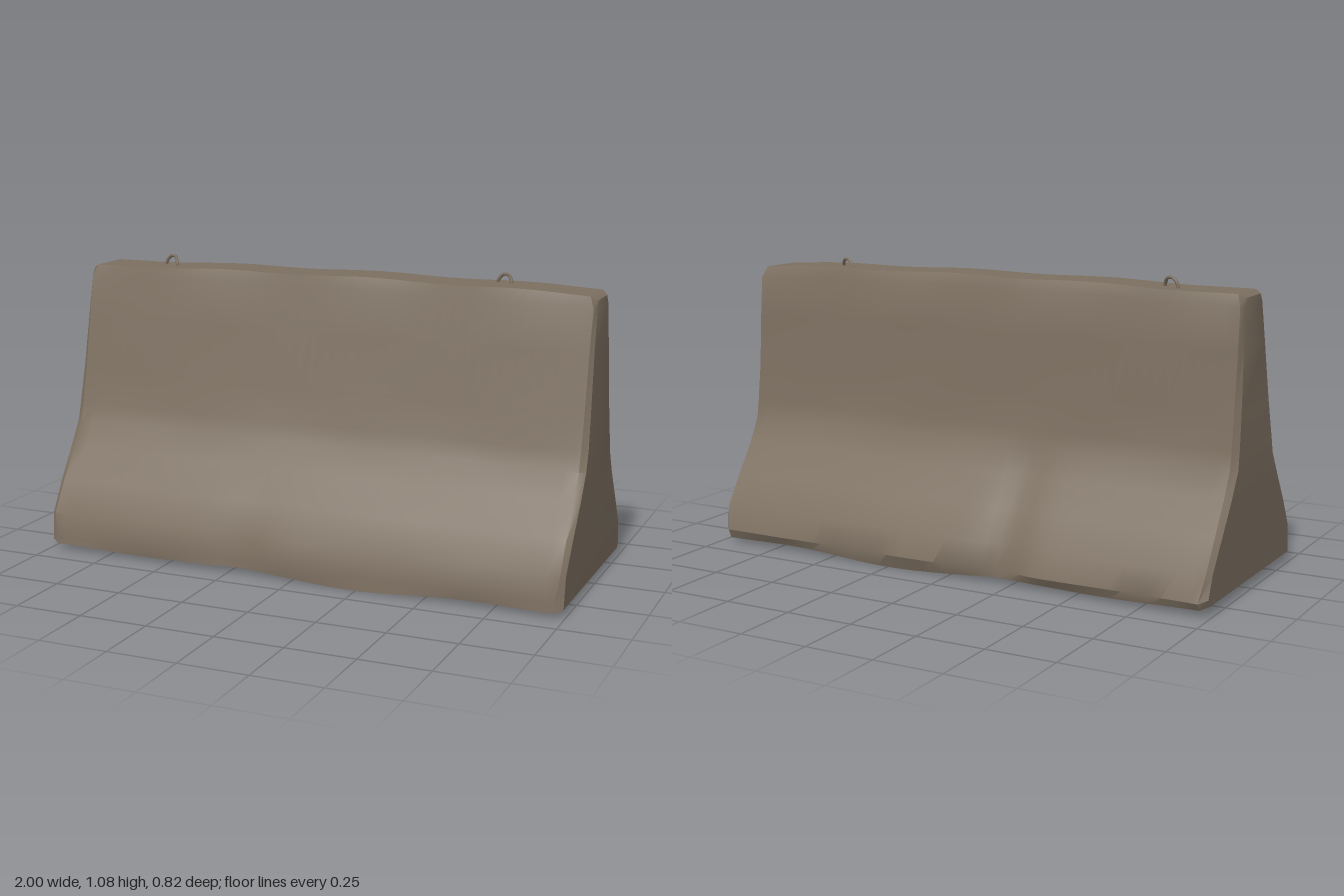
import * as THREE from 'three';
import { toCreasedNormals } from 'three/addons/utils/BufferGeometryUtils.js';

// Cross-section rows from the ground up: [height, front z, back z]
const ROWS = [
  [0.02, 0.405, -0.39], [0.05, 0.405, -0.405], [0.14, 0.395, -0.382], [0.25, 0.325, -0.307],
  [0.36, 0.25, -0.236], [0.45, 0.19, -0.188], [0.52, 0.168, -0.174], [0.65, 0.14, -0.16],
  [0.85, 0.098, -0.143], [1.0, 0.068, -0.13], [1.04, 0.055, -0.115],
];
const N = ROWS.length;
const bump = (x, centre, width) => Math.exp(-(((x - centre) / width) ** 2));

// One closed ring of the body: up the front, then down the back
function ring(x, isEnd) {
  const points = [];
  for (let j = 0; j < 2 * N; j++) {
    const front = j < N;
    const k = front ? j : 2 * N - 1 - j;
    let [y, zf, zb] = ROWS[k];
    let z = front ? zf : zb;
    // worn, uneven faces
    z += 0.004 * Math.sin(x * 7 + k * 1.3 + (front ? 0 : 2)) * Math.sin(x * 3.1 + k);
    if (k < 3) z -= Math.sign(z) * 0.012 * bump(x, -0.2, 0.1);
    // chipped dent in the lower back slope
    if (!front && k > 0 && k < 5) z += 0.014 * bump(x, -0.22, 0.07);
    // crowned top and sagging underside
    if (k >= N - 2) y += 0.008 * (1 - x * x) - 0.006 * x * x + 0.003 * Math.sin(x * 11);
    if (k === 0) y -= 0.016 * bump(x, 0.25, 0.35) + 0.004 * Math.sin(x * 8);
    let px = x;
    if (isEnd) {
      // bevel towards the end faces
      z += front ? -0.016 : (x > 0 ? 0.034 : 0.02);
      if (k < 2) y += 0.012;
      if (k === N - 1) y -= 0.012;
      px = Math.sign(x) * (1 - 0.014 * Math.max(0, (y - 0.5) / 0.55) - 0.008 * Math.max(0, 1 - y / 0.4));
    } else if (Math.abs(x) > 0.95 && (k < 2 || k === N - 1)) {
      px = x * 0.985;
    }
    points.push([px, y, z]);
  }
  return points;
}

function barrierGeometry() {
  const rings = [ring(-1, true)];
  const steps = 40;
  for (let i = 0; i <= steps; i++) rings.push(ring(-0.978 + (1.956 * i) / steps, false));
  rings.push(ring(1, true));

  const M = 2 * N;
  const index = [];
  const quad = (a, b, c, d) => index.push(a, b, c, a, c, d);
  // long faces, top and underside
  for (let i = 0; i < rings.length - 1; i++) {
    for (let j = 0; j < M; j++) {
      const n = (j + 1) % M;
      quad(i * M + j, (i + 1) * M + j, (i + 1) * M + n, i * M + n);
    }
  }
  // end faces
  const last = (rings.length - 1) * M;
  for (let k = 0; k < N - 1; k++) {
    const b = M - 1 - k;
    quad(last + k, last + b, last + b - 1, last + k + 1);
    quad(b, k, k + 1, b - 1);
  }
  const geometry = new THREE.BufferGeometry();
  geometry.setAttribute('position', new THREE.Float32BufferAttribute(rings.flat(2), 3));
  geometry.setIndex(index);
  return toCreasedNormals(geometry, 0.6);
}

export function createModel() {
  const group = new THREE.Group();
  group.name = 'concreteBarrier';
  const concrete = new THREE.MeshStandardMaterial({ color: 0x7c6f60 });
  concrete.name = 'weathered concrete';

  const body = new THREE.Mesh(barrierGeometry(), concrete);
  body.name = 'barrierBody';
  group.add(body);

  // thin bent lifting loops set into the top
  const loop = new THREE.CatmullRomCurve3([
    [-0.036, -0.03, 0], [-0.032, 0.008, 0], [-0.012, 0.032, -0.006],
    [0.012, 0.03, -0.008], [0.03, 0.008, 0], [0.036, -0.03, 0],
  ].map((p) => new THREE.Vector3(...p)));
  const loopGeometry = new THREE.TubeGeometry(loop, 16, 0.006, 6);
  for (const [name, x, z] of [['rightLiftingLoop', -0.695, -0.045], ['leftLiftingLoop', 0.625, -0.06]]) {
    const mesh = new THREE.Mesh(loopGeometry, concrete);
    mesh.name = name;
    mesh.position.set(x, 1.04, z);
    mesh.rotation.y = -0.4;
    group.add(mesh);
  }
  return group;
}
